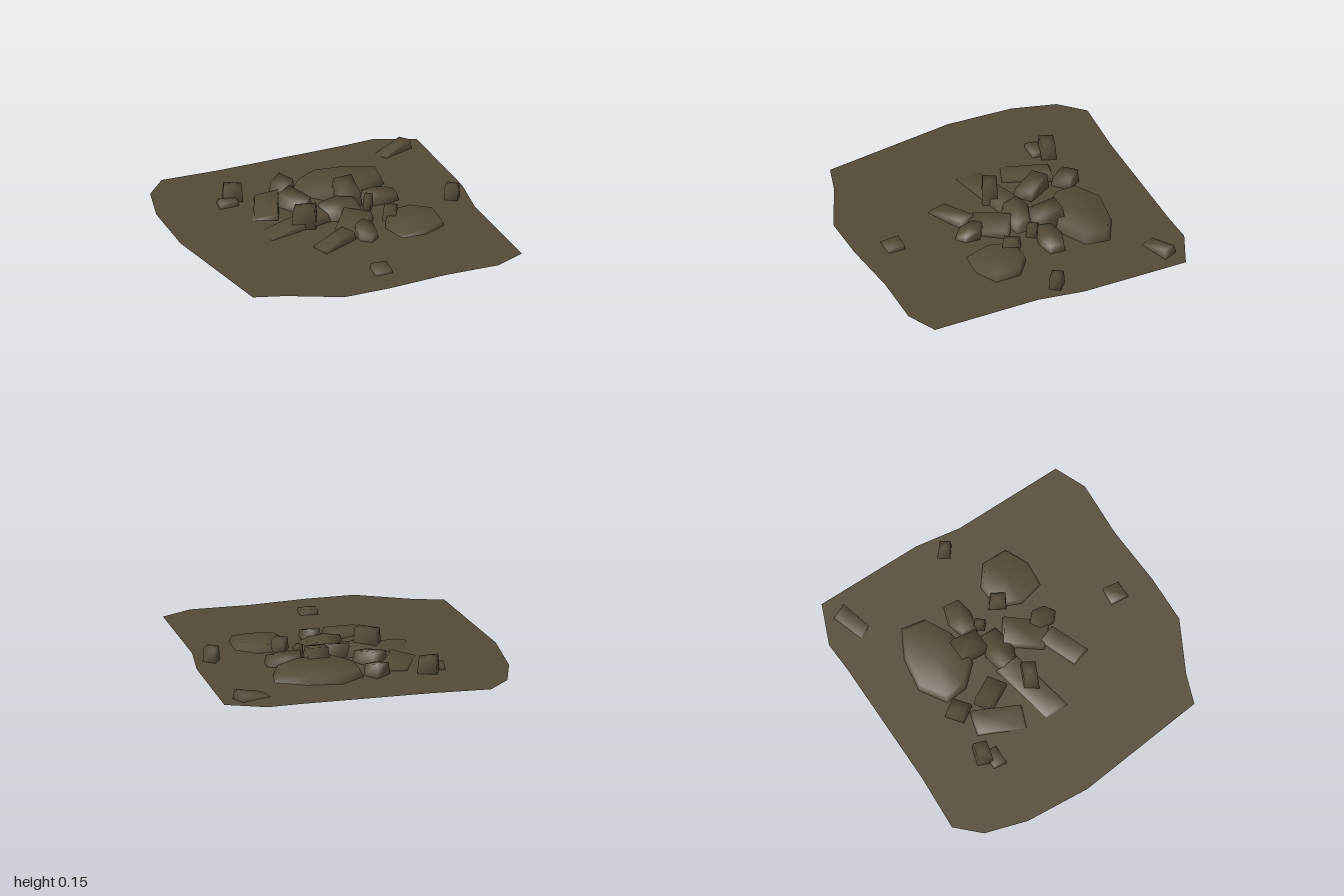
import * as THREE from 'three';

// Corners of the ground sheet, clockwise from the back left, as x, z
const EDGE = [[-0.78, -0.935], [-0.4, -0.935], [0.45, -0.98], [0.66, -1], [0.92, -0.905], [0.96, -0.2],
  [0.93, 0.1], [0.975, 0.82], [0.78, 0.92], [0.42, 0.93], [0.03, 0.98], [-0.28, 0.995],
  [-0.62, 0.85], [-0.82, 0.795], [-0.98, -0.07], [-0.98, -0.5], [-0.915, -0.78]];

// Uneven rounded-square footprint, as offsets from the middle of the stone
function footprint(width, depth, turn, sides) {
  return Array.from({ length: sides }, (_, i) => {
    const a = (i + 0.5) / sides * Math.PI * 2;
    const c = Math.cos(a), s = Math.sin(a);
    const r = (1 + 0.08 * Math.sin(i * 2.4 + width * 40)) / Math.max(Math.abs(c), Math.abs(s)) / 2;
    const p = new THREE.Vector2(c * r * width, s * r * depth);
    return p.rotateAround(new THREE.Vector2(), -turn);
  });
}

// Open-bottomed stone: base ring, narrower sloping top ring and a slightly raised middle
function stoneGeometry(ring, height, slopeX, slopeZ, taper) {
  const n = ring.length;
  const pos = [], index = [];
  for (const p of ring) pos.push(p.x, 0, p.y);
  for (const p of ring) {
    pos.push(p.x * taper, Math.max(0.005, height + p.x * slopeX + p.y * slopeZ), p.y * taper);
  }
  pos.push(0, height + 0.004, 0);
  for (let i = 0; i < n; i++) {
    const j = (i + 1) % n;
    index.push(i, n + i, j, j, n + i, n + j, n + i, 2 * n, n + j);
  }
  const g = new THREE.BufferGeometry();
  g.setAttribute('position', new THREE.Float32BufferAttribute(pos, 3));
  g.setIndex(index);
  g.computeVertexNormals();
  return g;
}

export function createModel() {
  const group = new THREE.Group();
  group.name = 'rubblePatch';
  const earth = new THREE.MeshStandardMaterial({ color: 0x544a37, side: THREE.DoubleSide });
  earth.name = 'earthBrown';
  const sheet = new THREE.Shape(EDGE.map(([x, z]) => new THREE.Vector2(x, z)));

  const add = (name, geometry) => {
    const mesh = new THREE.Mesh(geometry, earth);
    mesh.name = name;
    group.add(mesh);
    return mesh;
  };

  // A stone at x, z; an open one also cuts away the ground beneath it
  const stone = (name, x, z, width, depth, height,
    { turn = 0, slopeX = 0, slopeZ = 0, sides = 4, taper = 0.9, open = false } = {}) => {
    const ring = footprint(width, depth, turn, sides);
    add(name, stoneGeometry(ring, height, slopeX, slopeZ, taper)).position.set(x, 0, z);
    if (open) {
      sheet.holes.push(new THREE.Path(ring.map(p => new THREE.Vector2(x + p.x * 0.6, z + p.y * 0.6))));
    }
  };

  // Back row
  stone('backSlab', 0.235, -0.47, 0.55, 0.37, 0.062, { slopeZ: 0.06, sides: 8, open: true });
  stone('backLeftBlock', -0.455, -0.53, 0.13, 0.1, 0.1, { turn: -0.25, slopeX: -0.1, open: true });
  stone('leftPebble', -0.51, -0.47, 0.13, 0.09, 0.035);
  stone('backShard', -0.13, -0.52, 0.13, 0.12, 0.08, { turn: 0.7, slopeZ: -0.2 });
  stone('leftRamp', -0.31, -0.33, 0.16, 0.32, 0.035, { turn: -0.35, slopeX: 0.2 });
  stone('cornerRidge', 0.72, -0.8, 0.22, 0.1, 0.035, { turn: 0.4, slopeX: 0.25, open: true });

  // Middle heap
  stone('innerStone', -0.13, -0.29, 0.13, 0.2, 0.085, { turn: 0.6, slopeZ: -0.2, open: true });
  stone('tallStone', 0.2, -0.25, 0.15, 0.2, 0.12, { slopeZ: -0.2, taper: 0.85 });
  stone('rightStone', 0.4, -0.2, 0.23, 0.17, 0.06, { slopeX: -0.08, sides: 6 });
  stone('smallStone', 0.295, -0.12, 0.05, 0.07, 0.09, { turn: -0.6 });
  stone('centreStone', 0.1, -0.09, 0.3, 0.19, 0.075, { slopeZ: -0.25, sides: 6, taper: 0.8, open: true });
  stone('leftWedge', -0.22, -0.04, 0.46, 0.16, 0.035, { turn: 0.25, slopeX: 0.12 });
  stone('tallLeftStone', -0.165, -0.02, 0.15, 0.1, 0.138, { turn: -0.4, slopeX: 0.08, open: true });

  // Front row
  stone('frontPlate', 0.11, 0.1, 0.19, 0.28, 0.05, { turn: -0.6, slopeZ: -0.12, open: true });
  stone('frontLeftWedge', -0.07, 0.27, 0.28, 0.13, 0.04, { turn: 0.45, slopeX: 0.15 });
  stone('frontStone', 0.15, 0.25, 0.13, 0.18, 0.06, { slopeZ: -0.3, sides: 6, open: true });
  stone('rightPlate', 0.48, 0.19, 0.34, 0.34, 0.04, { slopeX: 0.05, slopeZ: -0.08, sides: 7, open: true });
  stone('rightBlock', 0.38, 0.06, 0.09, 0.11, 0.078, { turn: -0.5 });
  stone('edgeBlock', 0.84, -0.06, 0.09, 0.08, 0.095, { turn: -0.6, open: true });
  stone('frontPebble', 0.07, 0.73, 0.12, 0.12, 0.03, { slopeZ: -0.15, open: true });

  // Ground sheet
  add('groundSheet', new THREE.ShapeGeometry(sheet).rotateX(Math.PI / 2).translate(0, 0.003, 0));
  return group;
}
